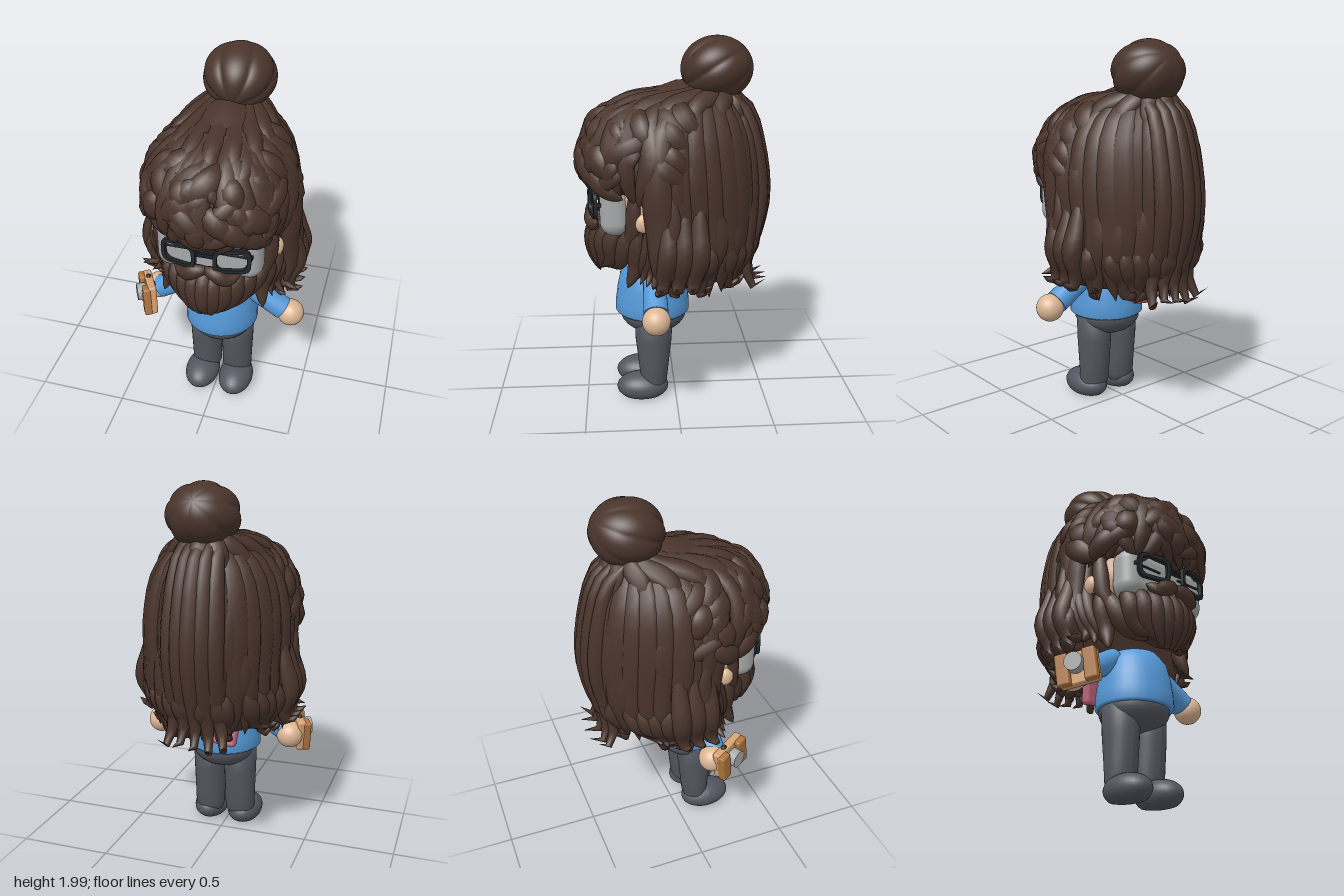
import * as THREE from 'three';
import { mergeVertices, mergeGeometries } from 'three/addons/utils/BufferGeometryUtils.js';
import { RoundedBoxGeometry } from 'three/addons/geometries/RoundedBoxGeometry.js';

const mat = (name, color) => { const m = new THREE.MeshStandardMaterial({ color }); m.name = name; return m; };
const V = (x, y, z) => new THREE.Vector3(x, y, z);

// Small seeded random in [-1, 1]
let seed = 7;
const rnd = () => { seed = (seed * 16807) % 2147483647; return (seed / 2147483647) * 2 - 1; };

// Hair volume by height: y, half width, front z, back z
const ROWS = [
  [1.77, 0.03, 0.0, -0.15], [1.72, 0.14, 0.14, -0.28], [1.65, 0.235, 0.32, -0.35], [1.55, 0.315, 0.43, -0.39],
  [1.42, 0.365, 0.48, -0.42], [1.3, 0.372, 0.485, -0.435], [1.18, 0.366, 0.465, -0.44], [1.0, 0.376, 0.45, -0.44],
  [0.88, 0.39, 0.43, -0.42], [0.72, 0.33, 0.37, -0.35]];

// Point on the hair volume, angle 0 at the front, a little fuller towards the front
function surf(a, y, k = 1) {
  let i = 0;
  while (i < ROWS.length - 2 && y < ROWS[i + 1][0]) i++;
  const p = ROWS[i], q = ROWS[i + 1];
  const t = THREE.MathUtils.clamp((p[0] - y) / (p[0] - q[0]), 0, 1);
  const [w, f, b] = [1, 2, 3].map(j => p[j] + (q[j] - p[j]) * t);
  return V(w * Math.sin(a) * k * (1 + 0.09 * Math.cos(a)), y, (f + b) / 2 + ((f - b) / 2) * Math.cos(a) * k);
}

function smooth(g) {
  g.deleteAttribute('uv'); g.deleteAttribute('normal');
  g = mergeVertices(g, 1e-5);
  g.computeVertexNormals();
  return g;
}

// Tapered lock of hair, flattened towards the head
function lock(pts, w, flat = 0.55) {
  const n = 14, r = 8, curve = new THREE.CatmullRomCurve3(pts);
  const g = new THREE.TubeGeometry(curve, n, w, r);
  const pos = g.attributes.position;
  for (let i = 0; i <= n; i++) {
    const c = curve.getPointAt(i / n);
    const out = V(c.x, (c.y - 1.2) * 0.6, c.z).normalize();
    const s = Math.pow(Math.max(Math.sin(Math.PI * (0.08 + 0.92 * i / n)), 0.0005), 0.65);
    for (let j = 0; j <= r; j++) {
      const k = i * (r + 1) + j;
      const d = V().fromBufferAttribute(pos, k).sub(c).multiplyScalar(s);
      d.addScaledVector(out, -d.dot(out) * (1 - flat)).add(c);
      pos.setXYZ(k, d.x, d.y, d.z);
    }
  }
  return smooth(g);
}

export function createModel() {
  const root = new THREE.Group();
  const hair = mat('dark brown hair', 0x49342b), skin = mat('skin', 0xddb795), blue = mat('blue knit', 0x5599d8);
  const trousers = mat('slate trousers', 0x53565f), grey = mat('grey', 0xa6a9a9), black = mat('black frame', 0x23282b);
  const pink = mat('pink bag', 0xc76a82), tan = mat('light tan', 0xd6a273), brown = mat('warm brown', 0xb0743f);
  const add = (name, g, m, x = 0, y = 0, z = 0, parent = root) => {
    const mesh = new THREE.Mesh(g, m);
    mesh.name = name; mesh.position.set(x, y, z); parent.add(mesh);
    return mesh;
  };
  const ball = (x, y, z) => new THREE.SphereGeometry(1, 28, 18).scale(x, y, z);
  const lathe = pts => new THREE.LatheGeometry(pts.map(p => new THREE.Vector2(...p)), 32);
  const MID = 0.014;

  // Legs, slimmer in depth at the ankle, with feet and hips
  add('hips', ball(0.185, 0.12, 0.185), trousers, MID, 0.485, 0.12);
  for (const s of [-1, 1]) {
    const leg = lathe([[0, 0.04], [0.07, 0.05], [0.086, 0.1], [0.088, 0.2], [0.092, 0.35], [0.095, 0.5], [0, 0.51]]);
    const lp = leg.attributes.position;
    for (let i = 0; i < lp.count; i++) lp.setZ(i, lp.getZ(i) * Math.min(1.1, 0.76 + lp.getY(i)));
    leg.computeVertexNormals();
    add('leg', leg, trousers, MID + s * 0.092, 0, 0.123);
    const foot = ball(0.1, 0.08, 0.145), p = foot.attributes.position;
    for (let i = 0; i < p.count; i++) p.setY(i, Math.max(p.getY(i), -0.055));
    foot.computeVertexNormals();
    add('foot', foot, trousers, MID - 0.002 + s * 0.103, 0.06, 0.187);
  }

  // Jumper, sleeves and hands
  add('jumper', lathe([[0, 0.495], [0.195, 0.49], [0.206, 0.5], [0.204, 0.56], [0.192, 0.65], [0.172, 0.73], [0.13, 0.79], [0, 0.83]]), blue, MID, 0, 0.125);
  for (const s of [-1, 1]) {
    const sleeve = add('sleeve', new THREE.CylinderGeometry(0.06, 0.066, 0.27, 20), blue, MID / 2 + s * 0.243, 0.678, 0.12);
    sleeve.quaternion.setFromUnitVectors(V(0, -1, 0), V(s * 0.85, -0.52, 0).normalize());
    add('hand', ball(0.075, 0.075, 0.075), skin, s > 0 ? 0.41 : -0.375, s > 0 ? 0.585 : 0.595, s > 0 ? 0.12 : 0.1);
  }

  // Wooden gadget in the right hand, its lens turned outwards
  const gadget = new THREE.Group();
  gadget.name = 'gadget'; gadget.position.set(-0.41, 0.605, 0.19); gadget.rotation.set(0, -1.07, 0.14); root.add(gadget);
  add('gadgetBody', new RoundedBoxGeometry(0.21, 0.175, 0.045, 3, 0.012), tan, 0, 0, -0.015, gadget);
  for (const s of [-1, 1]) add('gadgetGrip', new RoundedBoxGeometry(0.07, 0.17, 0.045, 3, 0.012), brown, s * 0.073, -0.004, 0.016, gadget);
  add('gadgetLens', new THREE.CylinderGeometry(0.048, 0.048, 0.05, 24), grey, 0, 0.012, 0.038, gadget).rotation.x = Math.PI / 2;
  add('gadgetButton', ball(0.018, 0.012, 0.014), black, -0.03, 0.087, -0.015, gadget);
  add('gadgetEyepiece', ball(0.02, 0.02, 0.01), black, -0.01, 0.04, -0.037, gadget);

  // Bag on the back
  const bag = new THREE.Group();
  bag.name = 'bag'; bag.position.set(-0.06, 0.66, -0.105); bag.rotation.set(0.22, 0, 0.12); root.add(bag);
  add('bagBody', new RoundedBoxGeometry(0.15, 0.175, 0.062, 4, 0.022), pink, 0, 0, 0, bag);
  add('bagFlap', new RoundedBoxGeometry(0.155, 0.08, 0.07, 3, 0.02), pink, 0, 0.05, -0.002, bag);
  add('bagStrap', new THREE.TubeGeometry(new THREE.CatmullRomCurve3([V(-0.06, 0.05, 0), V(0, 0.16, 0.04), V(0.06, 0.05, 0)]), 16, 0.012, 8), pink, 0, 0, 0, bag);

  // Head, face and ears
  add('head', new RoundedBoxGeometry(0.6, 0.48, 0.42, 6, 0.18), skin, 0, 1.22, 0.14);
  add('face', new RoundedBoxGeometry(0.56, 0.28, 0.16, 6, 0.075), grey, 0.008, 1.135, 0.322);
  for (const s of [-1, 1]) add('ear', ball(0.03, 0.05, 0.042), skin, s * 0.33, 1.09, 0.18);

  // Glasses
  const glasses = new THREE.Group();
  glasses.name = 'glasses'; glasses.position.set(0.012, 1.155, 0.445); root.add(glasses);
  const rounded = (P, w, h, r) => {
    const s = new P();
    s.moveTo(-w + r, -h).lineTo(w - r, -h).quadraticCurveTo(w, -h, w, -h + r).lineTo(w, h - r).quadraticCurveTo(w, h, w - r, h);
    s.lineTo(-w + r, h).quadraticCurveTo(-w, h, -w, h - r).lineTo(-w, -h + r).quadraticCurveTo(-w, -h, -w + r, -h);
    return s;
  };
  for (const s of [-1, 1]) {
    const rim = rounded(THREE.Shape, 0.096, 0.072, 0.05);
    rim.holes.push(rounded(THREE.Path, 0.075, 0.052, 0.038));
    const frame = new THREE.ExtrudeGeometry(rim, { depth: 0.02, bevelEnabled: false, curveSegments: 8 });
    add('rim', frame, black, s * 0.136, 0, -0.014, glasses).rotation.y = s * 0.2;
    add('eyeLine', new RoundedBoxGeometry(0.15, 0.012, 0.008, 2, 0.003), black, s * 0.136, 0.008, -0.038, glasses);
    add('temple', new THREE.BoxGeometry(0.012, 0.02, 0.07), black, s * 0.231, 0.012, -0.06, glasses).rotation.y = -s * 0.1;
  }
  for (const y of [0.006, 0.028]) add('bridge', new THREE.BoxGeometry(0.1, 0.01, 0.016), black, 0, y, 0, glasses);

  // Hair volume, cut flat behind the face below the fringe
  const ys = [1.77, 1.745, 1.72, 1.69, 1.65, 1.6, 1.55, 1.48, 1.42, 1.36, 1.3, 1.235, 1.225, 1.1, 1.0, 0.88, 0.8, 0.725];
  const N = 48, verts = [], index = [];
  ys.forEach((y, i) => {
    for (let j = 0; j <= N; j++) {
      const p = surf((j / N) * Math.PI * 2, y, 0.96);
      verts.push(p.x, y, y < 1.23 ? Math.min(p.z, 0.13) : p.z);
      const a = i * (N + 1) + j;
      if (i && j < N) index.push(a - N - 1, a, a - N, a, a + 1, a - N);
    }
  });
  const base = verts.length / 3;
  verts.push(0, 1.775, -0.075, 0, 0.73, -0.12);
  for (let j = 0; j < N; j++) {
    const b = (ys.length - 1) * (N + 1) + j;
    index.push(base, j, j + 1, base + 1, b + 1, b);
  }
  const shell = new THREE.BufferGeometry();
  shell.setAttribute('position', new THREE.Float32BufferAttribute(verts, 3));
  shell.setIndex(index);
  shell.computeVertexNormals();
  add('hairVolume', shell, hair);

  // Broad locks down the sides and back, with uneven ends
  const long = [];
  for (let i = 0; i < 19; i++) {
    const a = 1.42 + (i / 18) * (Math.PI * 2 - 2.84), sway = rnd() * 0.06, lift = 1 + rnd() * 0.025;
    const pts = [1.7, 1.55, 1.3, 1.05, 0.9].map((y, k) => surf(a + sway * k / 4, y, lift));
    pts.push(surf(a + sway, 0.79, 1.02), surf(a + sway * 2, 0.7 + rnd() * 0.04, 1.04 + rnd() * 0.06));
    long.push(lock(pts, 0.08 + rnd() * 0.01));
  }
  // Overlapping shorter locks
  for (let i = 0; i < 16; i++) {
    const a = 1.5 + (i / 15) * (Math.PI * 2 - 3), y = 1.42 + rnd() * 0.16, d = rnd() * 0.08;
    long.push(lock([surf(a, y), surf(a + d, y - 0.2, 1.03), surf(a + d, y - 0.42, 1.04), surf(a + d * 2, y - 0.58, 0.99)], 0.06));
  }
  // Curls along the lower edge
  for (let i = 0; i < 20; i++) {
    const a = 1.4 + (i / 19) * (Math.PI * 2 - 2.8), d = rnd() * 0.14;
    long.push(lock([surf(a, 1.0, 0.98), surf(a + d, 0.88, 1.04), surf(a + d * 2, 0.77, 0.98), surf(a + d * 3, 0.71 + rnd() * 0.03, 1.02), surf(a + d * 3.5, 0.73 + rnd() * 0.02, 1.16)], 0.052, 0.7));
  }
  add('longHair', mergeGeometries(long), hair);

  // Fall of hair from the bun down the middle of the back
  const fall = [];
  for (let i = -2; i <= 2; i++) {
    const x = i * 0.05, c = i * i * 0.008;
    fall.push(lock([V(x * 0.9, 1.74, -0.25 + c), V(x, 1.64, -0.385 + c), V(x * 1.1, 1.42, -0.455 + c), V(x * 1.15, 1.15, -0.485 + c), V(x * 1.15, 0.95, -0.455 + c),
      V(x * 1.3, 0.78, -0.41 + c), V(x * 1.6, 0.67 + rnd() * 0.02, -0.43), V(x * 1.8, 0.705 + rnd() * 0.03, -0.515 + c)], 0.056, 0.75));
  }
  add('backFall', mergeGeometries(fall), hair);

  // Curtains beside the face, side curls and sideburns
  const curtains = [];
  for (const s of [-1, 1]) {
    for (let i = 0; i < 4; i++) {
      const x = 0.31 + i * 0.026, z = 0.14 - i * 0.03;
      curtains.push(lock([V(s * x, 1.3, z), V(s * (x + 0.01), 1.1, z - 0.02), V(s * (x + 0.01), 0.93, z + 0.02), V(s * (x - 0.04), 0.81, z + 0.06),
        V(s * (x + (i - 1.5) * 0.04), 0.74 + i * 0.012, z + 0.09)], 0.045, 0.85));
    }
    for (let i = 0; i < 3; i++) {
      const z = 0.06 - i * 0.08;
      curtains.push(lock([V(s * 0.365, 1.2, z), V(s * 0.395, 1.05, z), V(s * 0.425, 0.92, z), V(s * 0.385, 0.8, z + 0.02), V(s * 0.4, 0.74, z + 0.03), V(s * 0.465, 0.775, z + 0.04)], 0.055, 0.8));
    }
    curtains.push(lock([V(s * 0.31, 1.28, 0.22), V(s * 0.31, 1.15, 0.23), V(s * 0.295, 1.02, 0.24), V(s * 0.23, 0.9, 0.3)], 0.045, 0.6));
    curtains.push(lock([V(s * 0.3, 1.06, 0.215), V(s * 0.29, 0.95, 0.215), V(s * 0.26, 0.83, 0.22), V(s * 0.28, 0.72, 0.265)], 0.05, 0.85));
    curtains.push(lock([V(s * 0.27, 1.05, 0.22), V(s * 0.25, 0.95, 0.27), V(s * 0.18, 0.84, 0.31), V(s * 0.1, 0.78, 0.36)], 0.06, 0.7));
  }
  add('sideCurtains', mergeGeometries(curtains), hair);

  // Fringe in overlapping layers, with tousled tufts on top
  const fringe = [];
  for (let i = 0; i < 17; i++) {
    const u = i / 8 - 1, a = u * 1.4, lean = rnd() * 0.2;
    const tip = 1.165 + 0.045 * (1 - Math.abs(u)) + rnd() * 0.02;
    fringe.push(lock([surf(a * 0.8, 1.7), surf(a * 0.9 + lean, 1.58, 1.01), surf(a + lean, 1.42, 1.02), surf(a, 1.28, 1.01), surf(a - lean, tip, 0.96)], 0.068));
  }
  for (let i = 0; i < 56; i++) {
    const a = ((i * 0.618) % 1) * 3 - 1.5, y = 1.38 + (i / 56) * 0.31 + rnd() * 0.02, d = rnd() * 0.5;
    fringe.push(lock([surf(a, y, 0.98), surf(a + d * 0.4, y - 0.05, 1.04), surf(a + d, y - 0.12, 1.03), surf(a + d * 1.4, y - 0.16, 1.0)], 0.058 + rnd() * 0.014, 0.65));
  }
  add('fringe', mergeGeometries(fringe), hair);

  // Swept locks gathering under the bun
  const swept = [];
  for (let i = 0; i < 14; i++) {
    const a = (i / 14) * Math.PI * 2;
    swept.push(lock([V(Math.sin(a) * 0.08, 1.76, -0.2 + Math.cos(a) * 0.08), V(Math.sin(a) * 0.13, 1.72, -0.17 + Math.cos(a) * 0.14), surf(a, 1.65, 1.01), surf(a, 1.53, 1)], 0.055));
  }
  add('sweptHair', mergeGeometries(swept), hair);

  // Lobed bun, its lobes running from low at the front over to a smoother back
  const bun = new THREE.SphereGeometry(1, 98, 32), bp = bun.attributes.position;
  for (let i = 0; i < bp.count; i++) {
    const p = V().fromBufferAttribute(bp, i);
    const groove = 1 - Math.sqrt(Math.abs(Math.cos(Math.atan2(p.x, p.z) * 3.5 + Math.PI / 2 + p.y * 0.3)));
    p.multiplyScalar(1 - 0.14 * groove * Math.hypot(p.x, p.z) * (0.65 + 0.35 * p.y));
    bp.setXYZ(i, p.x, p.y, p.z);
  }
  add('bun', smooth(bun.rotateX(2.1).scale(0.193, 0.168, 0.19)), hair, 0.016, 1.832, -0.22);

  // Beard
  const beard = [smooth(ball(0.19, 0.145, 0.11).translate(0, 0.925, 0.345))];
  for (let i = -4; i <= 4; i++) {
    const u = i / 4, x = u * 0.2, f = 0.46 - u * u * 0.1;
    beard.push(lock([V(x * 1.1, 1.05, f - 0.05), V(x * 1.04, 0.95, f - 0.008), V(x * 0.85, 0.85, f - 0.01), V(x * 0.5, 0.72 + u * u * 0.07 + rnd() * 0.012, 0.41)], 0.056, 0.7));
  }
  add('beard', mergeGeometries(beard), hair);

  // Moustache
  for (const s of [-1, 1]) {
    add('moustache', lock([V(-s * 0.01, 1.08, 0.445), V(s * 0.05, 1.065, 0.455), V(s * 0.11, 1.035, 0.445), V(s * 0.175, 1.06, 0.415)], 0.045, 0.8), hair, MID);
  }
  return root;
}
